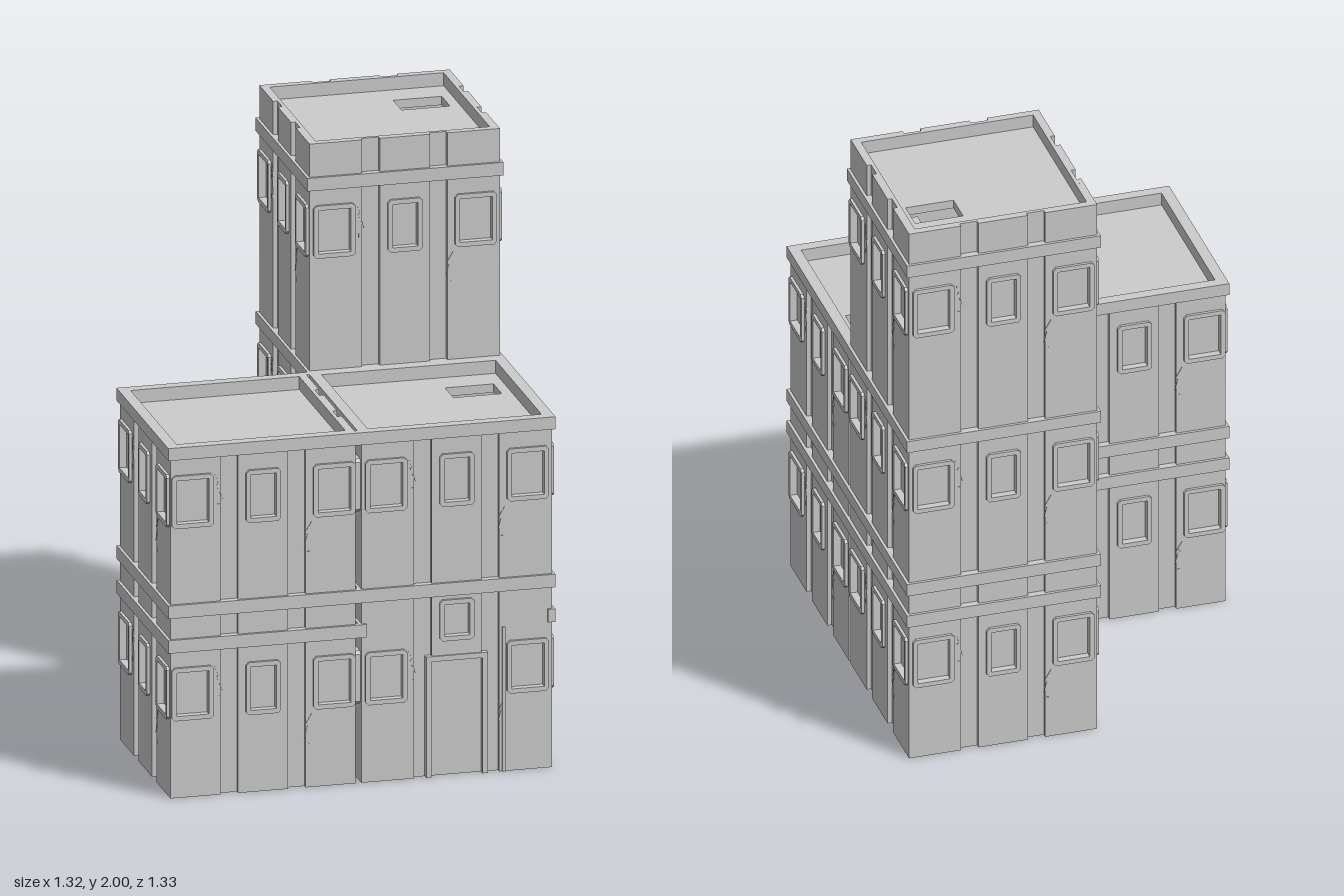
import * as THREE from 'three';

const mat = new THREE.MeshStandardMaterial({ color: 0xcccccc, flatShading: true });
const RECESS = 0.015, OUT = 0.01;          // panel thickness, trim projection
const GROOVE_IN = 0.085, GROOVE_OUT = 0.145; // vertical grooves, from facade centre

function add(parent, name, geo, x = 0, y = 0, z = 0) {
  const m = new THREE.Mesh(geo, mat);
  m.name = name;
  m.position.set(x, y, z);
  parent.add(m);
  return m;
}

function rect(Type, x0, y0, x1, y1, c = 0) {
  const s = new Type();
  if (c === 0) {
    s.moveTo(x0, y0).lineTo(x1, y0).lineTo(x1, y1).lineTo(x0, y1);
  } else {
    s.moveTo(x0 + c, y0).lineTo(x1 - c, y0).lineTo(x1, y0 + c).lineTo(x1, y1 - c);
    s.lineTo(x1 - c, y1).lineTo(x0 + c, y1).lineTo(x0, y1 - c).lineTo(x0, y0 + c);
  }
  s.closePath();
  return s;
}

const extrude = (shape, depth) => new THREE.ExtrudeGeometry(shape, { depth, bevelEnabled: false });

// Raised surround with chamfered corners
function frame(parent, o) {
  const b = 0.016;
  const s = rect(THREE.Shape, o.x0 - b, o.y0 - b, o.x1 + b, o.y1 + b, 0.01);
  s.holes.push(rect(THREE.Path, o.x0, o.y0, o.x1, o.y1));
  add(parent, 'windowFrame', extrude(s, RECESS + OUT), 0, 0, -RECESS);
}

// Thin zigzag crack on the wall surface
function crack(parent, x, y, dir) {
  const s = new THREE.Shape();
  s.moveTo(0, 0).lineTo(0.012 * dir, -0.03).lineTo(0.006 * dir, -0.038).lineTo(0.026 * dir, -0.085);
  s.lineTo(0.014 * dir, -0.042).lineTo(0.019 * dir, -0.032).closePath();
  add(parent, 'wallCrack', extrude(s, 0.002), x, y, 0);
  add(parent, 'wallChip', new THREE.BoxGeometry(0.008, 0.014, 0.004), x + 0.012 * dir, y - 0.11, 0);
}

// One wall face: panels with window holes, frames and horizontal bands
function facade(w, height, floors, bands, door, skipBands) {
  const g = new THREE.Group();
  g.name = 'facade';
  const h = w / 2;
  const columns = [
    { x0: -h, x1: -GROOVE_OUT, c: -0.241, hw: 0.055 },
    { x0: -GROOVE_IN, x1: GROOVE_IN, c: 0, hw: 0.043 },
    { x0: GROOVE_OUT, x1: h, c: 0.241, hw: 0.055 },
  ];
  columns.forEach((col, i) => {
    const isDoor = door && i === 1;
    const s = rect(THREE.Shape, col.x0, isDoor ? 0.4 : 0, col.x1, height);
    floors.forEach((y, f) => {
      const o = { x0: col.c - col.hw, x1: col.c + col.hw, y0: y, y1: y + 0.15 };
      if (isDoor && f === 0) { o.y0 = 0.485; o.y1 = 0.595; }
      s.holes.push(rect(THREE.Path, o.x0, o.y0, o.x1, o.y1));
      frame(g, o);
    });
    add(g, 'wallPanel', extrude(s, RECESS), 0, 0, -RECESS);
  });
  if (!skipBands) {
    bands.forEach(([y0, y1]) => {
      if (door && y0 < 0.6) return;
      add(g, 'wallBand', new THREE.BoxGeometry(w + 2 * OUT, y1 - y0, RECESS + OUT), 0, (y0 + y1) / 2, (OUT - RECESS) / 2);
    });
  }
  if (door) {
    // Door surround and a thin conduit beside it
    for (const s of [-1, 1])
      add(g, 'doorJamb', new THREE.BoxGeometry(0.018, 0.418, RECESS + 0.006), s * 0.096, 0.209, -0.0045);
    add(g, 'doorLintel', new THREE.BoxGeometry(0.21, 0.018, RECESS + 0.006), 0, 0.409, -0.0045);
    add(g, 'doorConduit', new THREE.BoxGeometry(0.01, 0.5, 0.012), 0.159, 0.25, 0);
  }
  floors.forEach((y) => {
    crack(g, -0.165, y + 0.16, 1);
    crack(g, 0.165, y - 0.03, -1);
  });
  return g;
}

// Hollow tower, open underneath, with sunken roof
function tower(name, x0, x1, z0, z1, height, floors, bands, opt) {
  const g = new THREE.Group();
  g.name = name;
  const wx = x1 - x0, wz = z1 - z0;
  g.position.set((x0 + x1) / 2, 0, (z0 + z1) / 2);
  const ax = wx / 2 - RECESS, az = wz / 2 - RECESS, t = 0.013;
  const ring = rect(THREE.Shape, -ax, -az, ax, az);
  ring.holes.push(rect(THREE.Path, -ax + t, -az + t, ax - t, az - t));
  add(g, 'wallCore', extrude(ring, height).rotateX(-Math.PI / 2));
  add(g, 'floorSlab', new THREE.BoxGeometry(2 * ax, 0.03, 2 * az), 0, 0.585, 0);

  // Roof, with stair hatch where there is one
  const roof = rect(THREE.Shape, -ax, -az, ax, az);
  const top = height - 0.045;
  if (opt.hatch) {
    roof.holes.push(rect(THREE.Path, 0.096, 0.082, 0.261, 0.188));
    for (let i = 0; i < 4; i++) {
      const y = top - 0.04 - (3 - i) * 0.05;
      add(g, 'stairStep', new THREE.BoxGeometry(0.0413, 0.1, 0.106), 0.1166 + i * 0.0413, y - 0.05, -0.135);
    }
  }
  add(g, 'roof', extrude(roof, 0.03).rotateX(-Math.PI / 2), 0, top - 0.03, 0);

  for (let k = 0; k < 4; k++) {
    const side = k % 2 === 1;
    const f = facade(side ? wz : wx, height, floors, bands, opt.door && k === 0, opt.plainSide === k);
    const a = k * Math.PI / 2, d = side ? wx / 2 : wz / 2;
    f.rotation.y = a;
    f.position.set(Math.sin(a) * d, 0, Math.cos(a) * d);
    g.add(f);
  }
  return g;
}

export function createModel() {
  const model = new THREE.Group();
  model.name = 'towerBuilding';
  const floors = [0.285, 0.95];
  const bands = [[0.505, 0.55], [0.625, 0.67], [1.172, 1.215]];
  model.add(
    tower('lowTowerRight', -0.65, -0.02, 0.01, 0.655, 1.215, floors, bands, { plainSide: 1 }),
    tower('lowTowerLeft', 0, 0.648, 0.01, 0.655, 1.215, floors, bands, { hatch: true, door: true }),
    tower('tallTower', 0, 0.648, -0.655, -0.01, 2, [...floors, 1.62], [...bands, [1.84, 1.885]], { hatch: true }),
  );
  return model;
}
